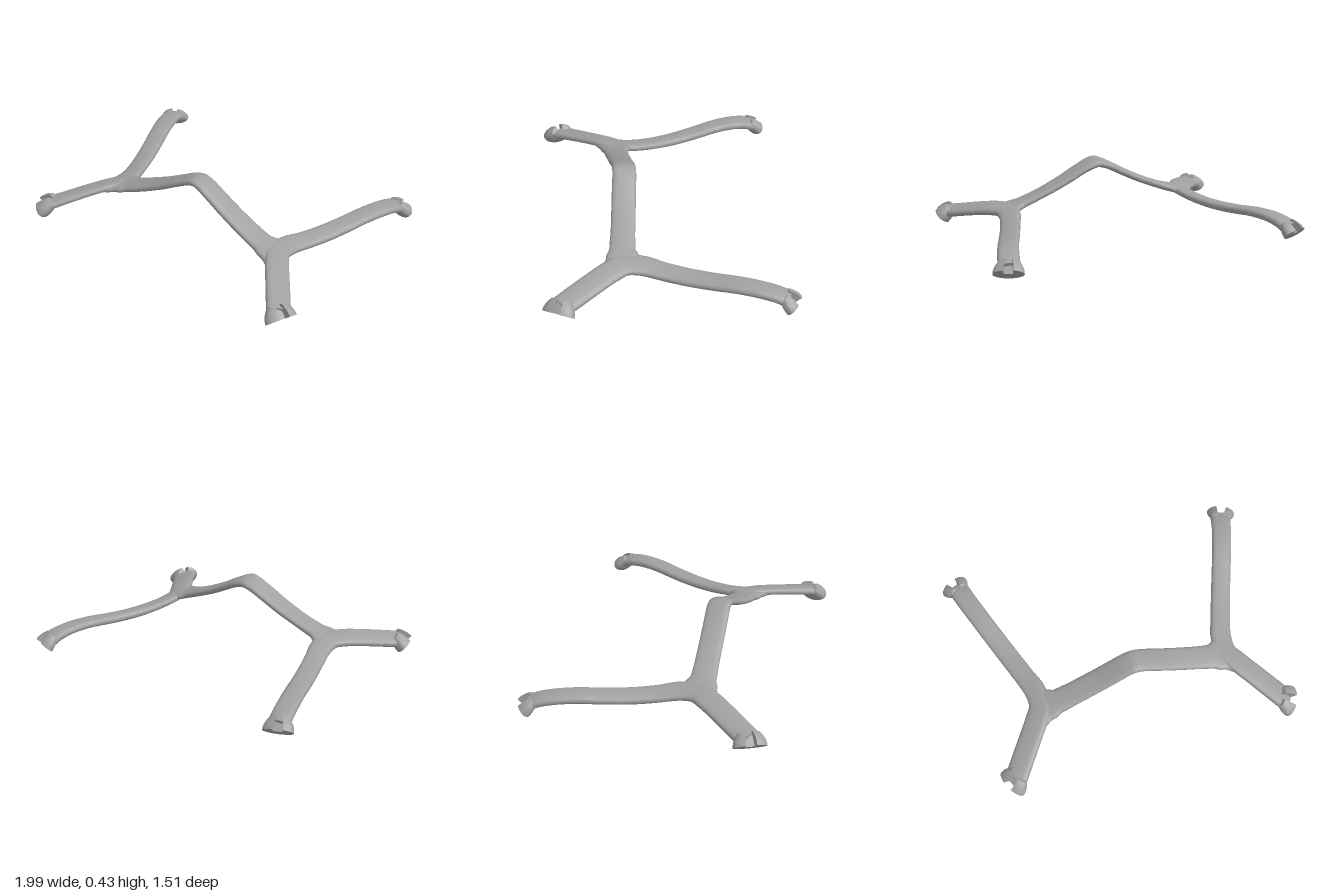
import * as THREE from 'three';
import { toCreasedNormals } from 'three/addons/utils/BufferGeometryUtils.js';

const V = (x, y, z) => new THREE.Vector3(x, y, z);
const UP = V(0, 1, 0);

// Sweep a rounded flat section along stations [x, y, z, halfWidth, halfThickness, tilt]
function ribbon(stations, steps) {
  const curve = new THREE.CatmullRomCurve3(stations.map(s => V(s[0], s[1], s[2])));
  const N = 20, pos = [], idx = [];
  const last = stations.length - 1;
  for (let i = 0; i <= steps; i++) {
    const u = i / steps, k = Math.min(Math.floor(u * last), last - 1), f = u * last - k;
    const e = f * f * (3 - 2 * f);
    const at = c => THREE.MathUtils.lerp(stations[k][c], stations[k + 1][c], e);
    const p = curve.getPoint(u), t = curve.getTangent(u);
    const side = t.clone().cross(UP).normalize();
    side.y = at(5);
    side.normalize();
    const n = side.clone().cross(t).normalize();
    for (let j = 0; j < N; j++) {
      const a = (j / N) * Math.PI * 2, c = Math.cos(a), s = Math.sin(a);
      const w = at(3) * Math.sign(c) * Math.abs(c) ** 0.6;
      const h = at(4) * Math.sign(s) * Math.abs(s) ** 0.75;
      const q = p.clone().addScaledVector(side, w).addScaledVector(n, h);
      pos.push(q.x, q.y, q.z);
    }
  }
  for (let i = 0; i < steps; i++) {
    for (let j = 0; j < N; j++) {
      const a = i * N + j, b = i * N + (j + 1) % N;
      idx.push(a, a + N, b, b, a + N, b + N);
    }
  }
  // end caps
  for (let j = 1; j < N - 1; j++) {
    const o = steps * N;
    idx.push(0, j, j + 1, o, o + j + 1, o + j);
  }
  const g = new THREE.BufferGeometry();
  g.setAttribute('position', new THREE.Float32BufferAttribute(pos, 3));
  g.setIndex(idx);
  return toCreasedNormals(g, 0.9);
}

// Oval foot with a slot cut into its upper edge, tapering back towards the arm
function footGeometry(rx, ry, depth) {
  const slot = 0.032, shape = new THREE.Shape();
  const a0 = Math.acos(slot / rx), y0 = ry * Math.sin(a0);
  for (let i = 0; i <= 32; i++) {
    const a = Math.PI - a0 + (i / 32) * (Math.PI + 2 * a0);
    const x = rx * Math.cos(a), y = ry * Math.sin(a);
    i ? shape.lineTo(x, y) : shape.moveTo(-slot, y0);
  }
  shape.lineTo(slot * 0.75, 0.005);
  shape.lineTo(-slot * 0.75, 0.005);
  shape.closePath();
  const g = new THREE.ExtrudeGeometry(shape, { depth, steps: 5, bevelEnabled: false });
  const p = g.attributes.position;
  for (let i = 0; i < p.count; i++) {
    const b = 1 - p.getZ(i) / depth;
    const k = 1 - 0.38 * b * b;
    p.setXYZ(i, p.getX(i) * k, p.getY(i) * k, p.getZ(i) - depth);
  }
  return toCreasedNormals(g, 0.7);
}

export function createModel() {
  const model = new THREE.Group();
  const frame = new THREE.Group();
  frame.name = 'frame';
  const grey = new THREE.MeshStandardMaterial({ color: 0xa0a0a0 });
  grey.name = 'grey';
  const add = (geometry, name) => {
    const mesh = new THREE.Mesh(geometry, grey);
    mesh.name = name;
    frame.add(mesh);
    return mesh;
  };

  // arched bridge, flaring into the arms at both ends
  const half = [
    [0.05, 0.387, 0.231, 0.074, 0.024, 0.12],
    [0.12, 0.352, 0.237, 0.074, 0.023, 0.1],
    [0.24, 0.287, 0.246, 0.074, 0.023, 0.05],
    [0.38, 0.222, 0.257, 0.074, 0.023, 0],
    [0.49, 0.179, 0.266, 0.078, 0.024, 0],
    [0.55, 0.16, 0.267, 0.1, 0.024, 0],
    [0.61, 0.144, 0.262, 0.135, 0.022, 0],
  ];
  const mirrored = half.map(([x, ...r]) => [-x, ...r]).reverse();
  add(ribbon([...mirrored, [0, 0.4, 0.23, 0.074, 0.025, 0.12], ...half], 112), 'bridge');

  // side rails, each a front arm and a rear arm in one sweep
  const rail = [
    [0.872, 0.083, 0.635, 0.072, 0.028, 0.2],
    [0.81, 0.102, 0.55, 0.073, 0.026, 0.25],
    [0.73, 0.127, 0.44, 0.073, 0.025, 0.27],
    [0.655, 0.145, 0.335, 0.073, 0.025, 0.27],
    [0.61, 0.147, 0.255, 0.07, 0.025, 0.27],
    [0.612, 0.137, 0.15, 0.068, 0.025, 0.25],
    [0.65, 0.119, 0.03, 0.063, 0.026, 0.2],
    [0.70, 0.11, -0.11, 0.062, 0.027, 0.16],
    [0.755, 0.114, -0.26, 0.062, 0.027, 0.12],
    [0.81, 0.125, -0.41, 0.062, 0.027, 0.08],
    [0.855, 0.12, -0.54, 0.063, 0.027, 0.04],
    [0.882, 0.102, -0.63, 0.064, 0.028, 0],
    [0.896, 0.08, -0.68, 0.066, 0.03, 0],
  ];
  // feet: sole centre, outward heading and oval size
  const feet = [
    { name: 'FrontFoot', at: [0.905, 0.052, 0.655], out: [0.9, 0.42], rx: 0.1, ry: 0.058 },
    { name: 'RearFoot', at: [0.913, 0.05, -0.712], out: [0.4, -0.92], rx: 0.09, ry: 0.05 },
  ];
  for (const s of [1, -1]) {
    const label = s > 0 ? 'left' : 'right';
    add(ribbon(rail.map(([x, y, z, w, t, k]) => [s * x, y, z, w, t, -s * k]), 96), label + 'Arms');
    for (const f of feet) {
      const foot = add(footGeometry(f.rx, f.ry, 0.085), label + f.name);
      const normal = V(s * f.out[0], -1, f.out[1]).normalize();
      const across = UP.clone().cross(normal).normalize();
      const rise = normal.clone().cross(across);
      foot.matrix.makeBasis(across, rise, normal);
      foot.quaternion.setFromRotationMatrix(foot.matrix);
      foot.position.set(s * f.at[0], f.at[1], f.at[2]);
    }
  }

  // slight lean to one side, then settle on the ground
  frame.rotation.z = -0.017;
  model.add(frame);
  model.updateMatrixWorld(true);
  const box = new THREE.Box3().setFromObject(model, true);
  const c = box.getCenter(V(0, 0, 0));
  frame.position.set(-c.x, -box.min.y, -c.z);
  return model;
}
